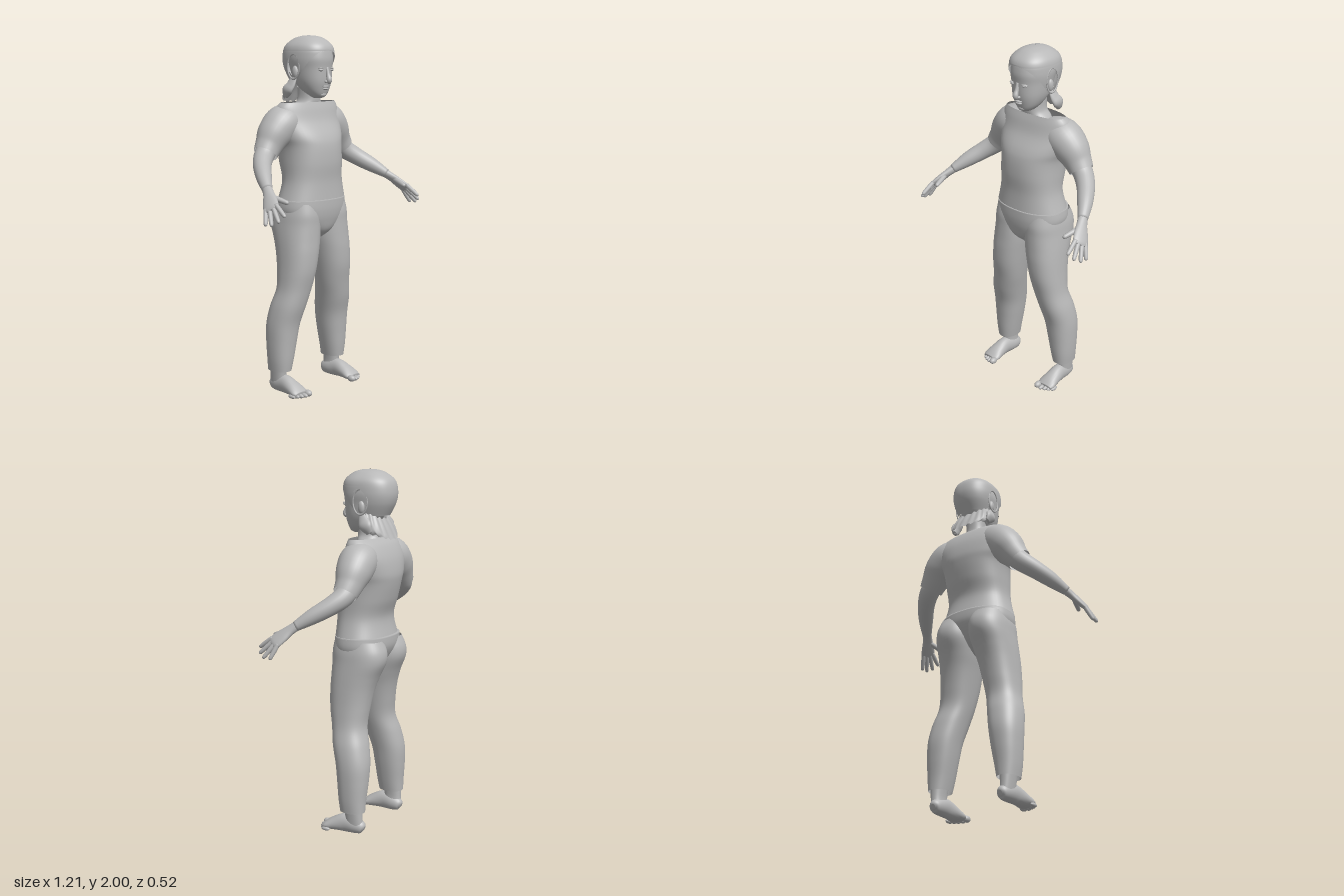
import * as THREE from 'three';

const grey = new THREE.MeshStandardMaterial({ color: 0xb8b8b8, side: THREE.DoubleSide });
grey.name = 'plain grey';

// smooth interpolation between rows of numbers
function refine(rows, steps) {
  const out = [];
  const n = rows.length;
  for (let i = 0; i < n - 1; i++) {
    const p = [rows[Math.max(i - 1, 0)], rows[i], rows[i + 1], rows[Math.min(i + 2, n - 1)]];
    for (let s = 0; s < steps; s++) {
      const t = s / steps;
      out.push(rows[i].map((_, k) => {
        const m0 = (p[2][k] - p[0][k]) / 2, m1 = (p[3][k] - p[1][k]) / 2;
        const d = p[2][k] - p[1][k];
        return p[1][k] + t * m0 + t * t * (3 * d - 2 * m0 - m1) + t * t * t * (m0 + m1 - 2 * d);
      }));
    }
  }
  out.push(rows[n - 1]);
  return out;
}

// surface through rings of points; closed rings wrap, caps close the ends
function surface(name, rings, { closed = true, caps = true, skip = null } = {}) {
  const pos = [], idx = [], n = rings[0].length;
  rings.forEach(r => r.forEach(p => pos.push(p.x, p.y, p.z)));
  for (let i = 0; i < rings.length - 1; i++) {
    for (let j = 0; j < (closed ? n : n - 1); j++) {
      const k = (j + 1) % n, a = i * n + j, b = i * n + k;
      if (skip && skip(rings[i][j])) continue;
      idx.push(a, a + n, b, b, a + n, b + n);
    }
  }
  if (caps) [0, rings.length - 1].forEach((i, end) => {
    const c = new THREE.Vector3();
    rings[i].forEach(p => c.addScaledVector(p, 1 / n));
    const ci = pos.length / 3;
    pos.push(c.x, c.y, c.z);
    for (let j = 0; j < n; j++) {
      const a = i * n + j, b = i * n + (j + 1) % n;
      if (end) idx.push(ci, b, a); else idx.push(ci, a, b);
    }
  });
  const g = new THREE.BufferGeometry();
  g.setAttribute('position', new THREE.Float32BufferAttribute(pos, 3));
  g.setIndex(idx);
  g.computeVertexNormals();
  const m = new THREE.Mesh(g, grey);
  m.name = name;
  return m;
}

// point on a level rounded section: row = [y, centre x, half width, front z, back z]
const SQ = 2.3;
const pw = v => Math.sign(v) * Math.abs(v) ** (2 / SQ);
const level = ([y, cx, rx, f, b], a) => new THREE.Vector3(
  cx + rx * pw(Math.cos(a)), y, (f + b) / 2 + (f - b) / 2 * pw(Math.sin(a)));

function stack(name, rows, caps = true) {
  const rings = refine(rows, 6).map(r =>
    Array.from({ length: 48 }, (_, j) => level(r, j / 48 * Math.PI * 2)));
  return surface(name, rings, { caps });
}

// limb along a path: row = [x, y, z, half width along ref, other half width]
function sweep(name, rows, ref, sides = 24, caps = true) {
  const rs = refine(rows, 6), P = rs.map(r => new THREE.Vector3(r[0], r[1], r[2]));
  const rings = rs.map((r, i) => {
    const t = P[Math.min(i + 1, P.length - 1)].clone().sub(P[Math.max(i - 1, 0)]).normalize();
    const u = ref.clone().addScaledVector(t, -ref.dot(t)).normalize();
    const v = u.clone().cross(t);
    return Array.from({ length: sides }, (_, j) => {
      const a = j / sides * Math.PI * 2;
      return P[i].clone().addScaledVector(u, r[3] * Math.cos(a)).addScaledVector(v, r[4] * Math.sin(a));
    });
  });
  return surface(name, rings, { caps });
}

function blob(name, x, y, z, rx, ry, rz) {
  const m = new THREE.Mesh(new THREE.SphereGeometry(1, 20, 14), grey);
  m.position.set(x, y, z);
  m.scale.set(rx, ry, rz);
  m.name = name;
  return m;
}

function makeHead() {
  const g = new THREE.Group();
  g.name = 'head';
  g.add(stack('skull', [
    [1.658, 0, 0.025, 0.0, -0.06], [1.67, 0, 0.045, 0.018, -0.08], [1.70, 0, 0.07, 0.03, -0.12],
    [1.75, 0, 0.09, 0.042, -0.17], [1.82, 0, 0.1, 0.046, -0.2], [1.88, 0, 0.105, 0.05, -0.21],
    [1.95, 0, 0.085, 0.03, -0.19], [1.985, 0, 0.03, -0.04, -0.13]]));
  g.add(stack('neck', [
    [1.54, 0, 0.13, -0.04, -0.17], [1.61, 0, 0.09, -0.035, -0.17],
    [1.65, 0, 0.06, -0.03, -0.16], [1.72, 0, 0.058, -0.03, -0.16]]));
  // face
  g.add(sweep('nose', [[0, 1.825, 0.043, 0.008, 0.008], [0, 1.785, 0.051, 0.011, 0.012],
    [0, 1.757, 0.061, 0.016, 0.015], [0, 1.742, 0.052, 0.012, 0.012]], new THREE.Vector3(1, 0, 0)));
  g.add(blob('upperLip', 0, 1.721, 0.034, 0.025, 0.006, 0.015));
  g.add(blob('lowerLip', 0, 1.709, 0.031, 0.021, 0.007, 0.015));
  g.add(blob('chin', 0, 1.677, 0.006, 0.028, 0.016, 0.02));
  for (const s of [-1, 1]) {
    g.add(blob('nostril', s * 0.014, 1.748, 0.049, 0.008, 0.008, 0.01));
    g.add(blob('eye', s * 0.042, 1.812, 0.036, 0.015, 0.008, 0.012));
    g.add(blob('upperLid', s * 0.042, 1.82, 0.036, 0.019, 0.004, 0.014));
    g.add(blob('ear', s * 0.104, 1.80, -0.1, 0.014, 0.034, 0.02));
  }
  // hair cap, cut back along the face and opened around the ears
  const rows = refine([
    [1.755, 0, 0.1, 0.045, -0.205], [1.82, 0, 0.118, 0.05, -0.238], [1.88, 0, 0.124, 0.056, -0.248],
    [1.94, 0, 0.114, 0.045, -0.233], [1.98, 0, 0.075, 0.0, -0.185],
    [1.996, 0, 0.035, -0.045, -0.14], [2.0, 0, 0.002, -0.09, -0.1]], 10);
  const rings = rows.map(r => {
    const zEdge = 0.055 - Math.max(0, 1.92 - r[0]) * 0.85;
    const s = r[0] > 1.92 ? 1 : Math.min(1, Math.max(0, (zEdge - (r[3] + r[4]) / 2) / ((r[3] - r[4]) / 2)));
    const a0 = Math.asin(s ** (SQ / 2));
    return Array.from({ length: 121 }, (_, j) => level(r, Math.PI - a0 + (Math.PI + 2 * a0) * j / 120));
  });
  const inEar = p => ((p.z + 0.1) / 0.042) ** 2 + ((p.y - 1.83) / 0.066) ** 2 < 1;
  g.add(surface('hairCap', rings, { closed: false, caps: false, skip: inEar }));
  for (const s of [-1, 1]) {
    const rim = new THREE.Mesh(new THREE.TorusGeometry(0.044, 0.004, 8, 32), grey);
    rim.rotation.y = Math.PI / 2;
    rim.scale.y = 1.55;
    rim.position.set(s * 0.117, 1.83, -0.1);
    rim.name = 'hairEarEdge';
    g.add(rim);
    // curl beside the jaw
    g.add(sweep('hairCurl', [[s * 0.102, 1.77, -0.1, 0.012, 0.006], [s * 0.115, 1.73, -0.12, 0.03, 0.014],
      [s * 0.124, 1.70, -0.14, 0.035, 0.018], [s * 0.118, 1.665, -0.16, 0.018, 0.01]], new THREE.Vector3(0, 0, 1)));
  }
  // flipped ends around the nape
  const flip = refine([[1.63, 0, 0.11, -0.04, -0.245], [1.65, 0, 0.122, -0.04, -0.235],
    [1.69, 0, 0.118, -0.05, -0.215], [1.74, 0, 0.1, -0.05, -0.185]], 5);
  g.add(surface('hairFlip', flip.map(r => Array.from({ length: 41 }, (_, j) => {
    const a = Math.PI * (1.02 + 0.96 * j / 40), p = level(r, a);
    p.y += 0.03 * Math.cos(a) ** 2 + 0.005 * Math.sin(j * 1.3);
    return p;
  })), { closed: false, caps: false }));
  return g;
}

function makeArm() {
  const g = new THREE.Group();
  g.name = 'arm';
  const across = new THREE.Vector3(0.39, -0.43, -0.82);
  g.add(sweep('sleeve', [[0.09, 1.53, -0.12, 0.085, 0.085], [0.17, 1.52, -0.125, 0.104, 0.105],
    [0.235, 1.465, -0.13, 0.096, 0.098], [0.28, 1.405, -0.13, 0.076, 0.078],
    [0.312, 1.362, -0.125, 0.066, 0.068]], new THREE.Vector3(0, 0, 1), 32, false));
  g.add(sweep('foreArm', [[0.25, 1.43, -0.135, 0.06, 0.06], [0.32, 1.355, -0.125, 0.056, 0.056],
    [0.38, 1.305, -0.08, 0.05, 0.05], [0.44, 1.252, -0.005, 0.042, 0.042],
    [0.49, 1.2, 0.07, 0.028, 0.025]], across));
  g.add(sweep('palm', [[0.48, 1.21, 0.055, 0.027, 0.025], [0.505, 1.18, 0.095, 0.031, 0.021],
    [0.53, 1.148, 0.13, 0.042, 0.019], [0.552, 1.12, 0.16, 0.045, 0.015],
    [0.56, 1.108, 0.172, 0.036, 0.009]], across));
  const finger = (name, b, t, r) => {
    const at = (k, q) => [...b.map((v, i) => v + (t[i] - v) * k), q, q];
    g.add(sweep(name, [at(-0.1, r), at(0.4, r), at(0.85, r * 0.85), at(0.97, r * 0.55), at(1, r * 0.15)], across, 12));
  };
  [[0.55, 1.08, 0.26], [0.578, 1.052, 0.243], [0.596, 1.033, 0.208], [0.597, 1.03, 0.165]].forEach((tip, i) => {
    const k = -0.033 + i * 0.022;
    finger('finger', [0.553 + 0.39 * k, 1.117 - 0.43 * k, 0.163 - 0.82 * k], tip, 0.0125);
  });
  finger('thumb', [0.508, 1.17, 0.115], [0.48, 1.14, 0.215], 0.0145);
  return g;
}

function makeLeg() {
  const g = new THREE.Group();
  g.name = 'leg';
  // trouser leg: rows built from inner and outer x
  g.add(stack('trouserLeg', [
    [0.13, 0.165, 0.276, -0.045, -0.187], [0.2, 0.15, 0.284, -0.035, -0.19], [0.3, 0.13, 0.289, -0.025, -0.198],
    [0.4, 0.112, 0.289, -0.012, -0.2], [0.5, 0.09, 0.277, 0.015, -0.183], [0.6, 0.066, 0.252, 0.035, -0.157],
    [0.7, 0.045, 0.242, 0.055, -0.166], [0.8, 0.025, 0.236, 0.062, -0.185], [0.88, 0.008, 0.231, 0.061, -0.212],
    [0.96, -0.002, 0.224, 0.06, -0.248], [1.02, -0.002, 0.218, 0.06, -0.25], [1.08, 0.0, 0.205, 0.05, -0.225]
  ].map(([y, i, o, f, b]) => [y, (i + o) / 2, (o - i) / 2, f, b]), false));
  // bare foot
  g.add(stack('ankle', [[0.03, 0.216, 0.034, -0.07, -0.18], [0.09, 0.222, 0.034, -0.075, -0.176],
    [0.17, 0.222, 0.042, -0.065, -0.175]]));
  g.add(sweep('foot', [[0.213, 0.035, -0.185, 0.012, 0.014], [0.214, 0.04, -0.172, 0.03, 0.034],
    [0.216, 0.048, -0.13, 0.039, 0.046], [0.22, 0.054, -0.07, 0.04, 0.052], [0.222, 0.042, -0.01, 0.048, 0.04],
    [0.223, 0.029, 0.035, 0.055, 0.026], [0.224, 0.023, 0.06, 0.046, 0.014]], new THREE.Vector3(1, 0, 0)));
  [[0.184, 0.07, 0.019], [0.212, 0.067, 0.0125], [0.235, 0.058, 0.012], [0.255, 0.046, 0.0115], [0.273, 0.03, 0.011]]
    .forEach(([x, z, r]) => g.add(blob('toe', x, r + 0.003, z, r, r, 0.026)));
  return g;
}

export function createModel() {
  const model = new THREE.Group();
  model.name = 'standingFigure';
  model.add(makeHead());
  // shirt with wide open neckline
  model.add(stack('shirt', [
    [1.092, 0, 0.214, 0.07, -0.222], [1.2, 0, 0.186, 0.066, -0.204], [1.3, 0, 0.184, 0.073, -0.234],
    [1.39, 0, 0.19, 0.068, -0.255], [1.45, 0, 0.212, 0.05, -0.26], [1.53, 0, 0.235, 0.005, -0.245],
    [1.6, 0, 0.225, -0.018, -0.21], [1.635, 0, 0.2, -0.032, -0.17]], false));
  // trouser seat
  model.add(stack('trouserHips', [
    [0.875, 0, 0.02, -0.01, -0.1], [0.92, 0, 0.1, 0.04, -0.16], [0.98, 0, 0.19, 0.062, -0.205],
    [1.04, 0, 0.217, 0.072, -0.232], [1.1, 0, 0.213, 0.073, -0.235]]));
  // mirrored limbs
  for (const s of [1, -1]) {
    const side = new THREE.Group();
    side.name = s > 0 ? 'leftLimbs' : 'rightLimbs';
    side.add(makeArm(), makeLeg());
    side.scale.x = s;
    model.add(side);
  }
  return model;
}
